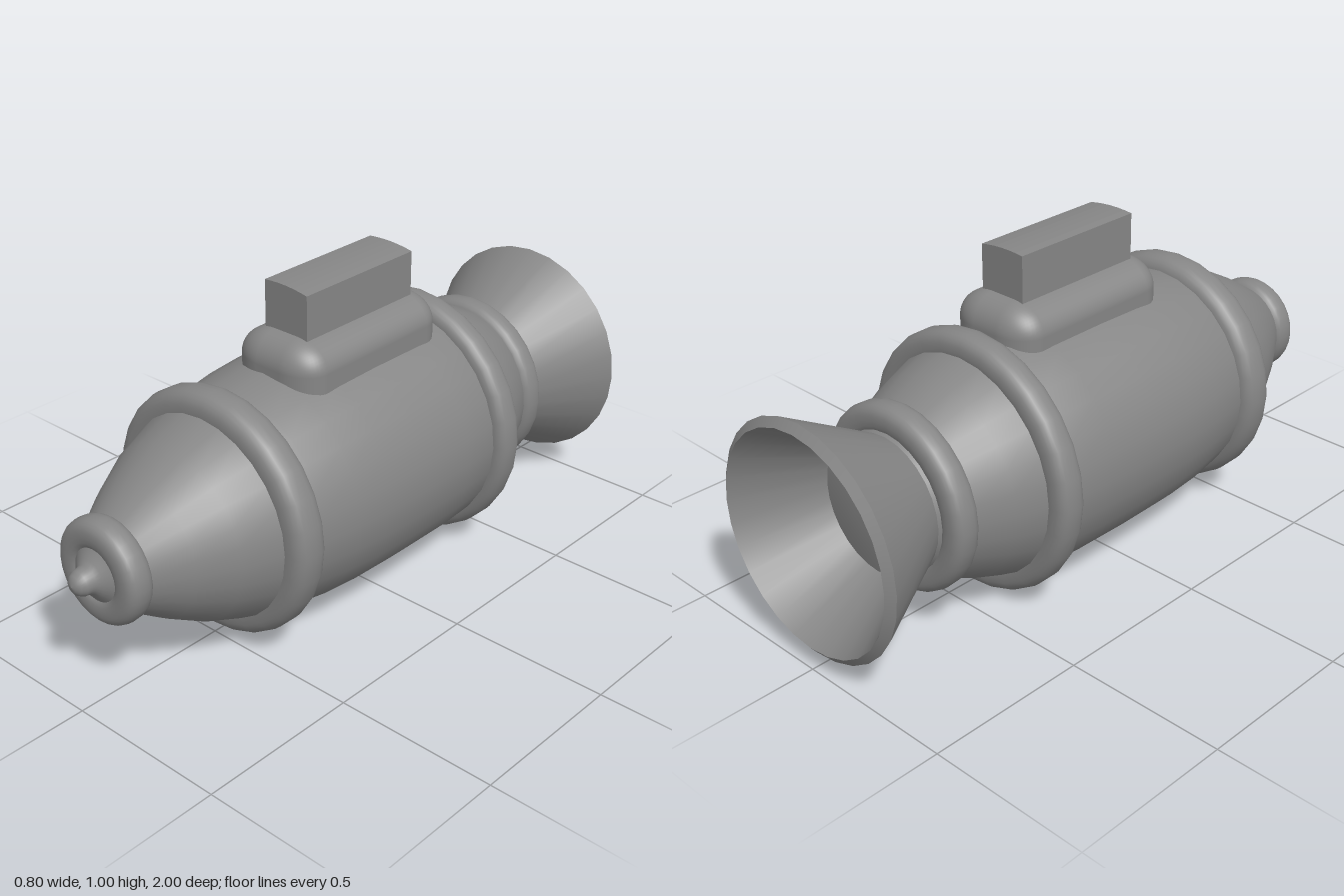
import * as THREE from 'three';
import { RoundedBoxGeometry } from 'three/addons/geometries/RoundedBoxGeometry.js';

const SIDES = 28;
const AXIS_Y = 0.399;

export function createModel() {
  const model = new THREE.Group();
  const material = new THREE.MeshStandardMaterial({ color: 0x868686 });

  function add(name, geometry, x = 0, y = 0, z = 0) {
    const mesh = new THREE.Mesh(geometry, material);
    mesh.name = name;
    mesh.position.set(x, y, z);
    model.add(mesh);
  }

  // Revolves [radius, z] points around the long axis
  function turned(name, points) {
    const profile = points.map(([r, z]) => new THREE.Vector2(r, z));
    add(name, new THREE.LatheGeometry(profile, SIDES).rotateX(Math.PI / 2), 0, AXIS_Y);
  }

  // Barrel-shaped hull, from tail to front
  turned('hull', [
    [0.2, -0.71], [0.262, -0.62], [0.306, -0.52], [0.34, -0.42], [0.362, -0.32],
    [0.369, -0.2], [0.37, 0], [0.367, 0.15], [0.358, 0.27], [0.34, 0.39],
    [0.31, 0.52], [0.265, 0.64], [0.205, 0.75], [0.14, 0.85], [0.1, 0.9],
  ]);

  // Bands with a slightly squared round section: [name, z, outer radius, half width]
  const bands = [
    ['noseBand', 0.882, 0.156, 0.046],
    ['frontBand', 0.464, 0.372, 0.059],
    ['rearBand', -0.379, 0.398, 0.049],
    ['tailBand', -0.657, 0.28, 0.045],
  ];
  const squared = (v) => Math.sign(v) * Math.abs(v) ** 0.8;
  for (const [name, z, outer, half] of bands) {
    const section = [];
    for (let i = 0; i <= 24; i++) {
      const a = -Math.PI + (i / 24) * Math.PI * 2;
      section.push([outer - half + half * squared(Math.cos(a)), z + half * squared(Math.sin(a))]);
    }
    turned(name, section);
  }

  // Nose tip rising from the front band to a small ball end
  turned('noseTip', [
    [0.11, 0.9], [0.075, 0.922], [0.056, 0.938], [0.042, 0.949], [0.039, 0.96],
    [0.037, 0.974], [0.028, 0.989], [0.015, 0.997], [0, 1],
  ]);

  // Flared hollow nozzle with a narrow lip and a shallow domed floor
  turned('nozzleOuter', [[0.353, -0.98], [0.2, -0.7]]);
  turned('nozzleLip', [[0.328, -1], [0.353, -0.98]]);
  turned('nozzleInner', [[0.18, -0.72], [0.328, -1]]);
  turned('nozzleFloor', [[0, -0.775], [0.07, -0.773], [0.14, -0.766], [0.202, -0.755]]);

  // Rounded saddle sunk into the top of the hull, more domed across than along
  const saddle = new RoundedBoxGeometry(0.236, 0.26, 0.6, 6, 0.085).scale(1.3, 1, 1);
  add('saddle', saddle, 0.016, 0.73, -0.02);

  // Upright fin block with a slightly crowned top
  const fin = new THREE.Shape();
  fin.moveTo(-0.061, 0.7);
  fin.lineTo(0.097, 0.7);
  fin.lineTo(0.097, 0.99);
  fin.quadraticCurveTo(0.02, 1.006, -0.061, 0.997);
  fin.closePath();
  const finGeometry = new THREE.ExtrudeGeometry(fin, {
    depth: 0.445, bevelEnabled: false, curveSegments: 6,
  });
  add('finBlock', finGeometry, 0, 0, -0.242);

  return model;
}
